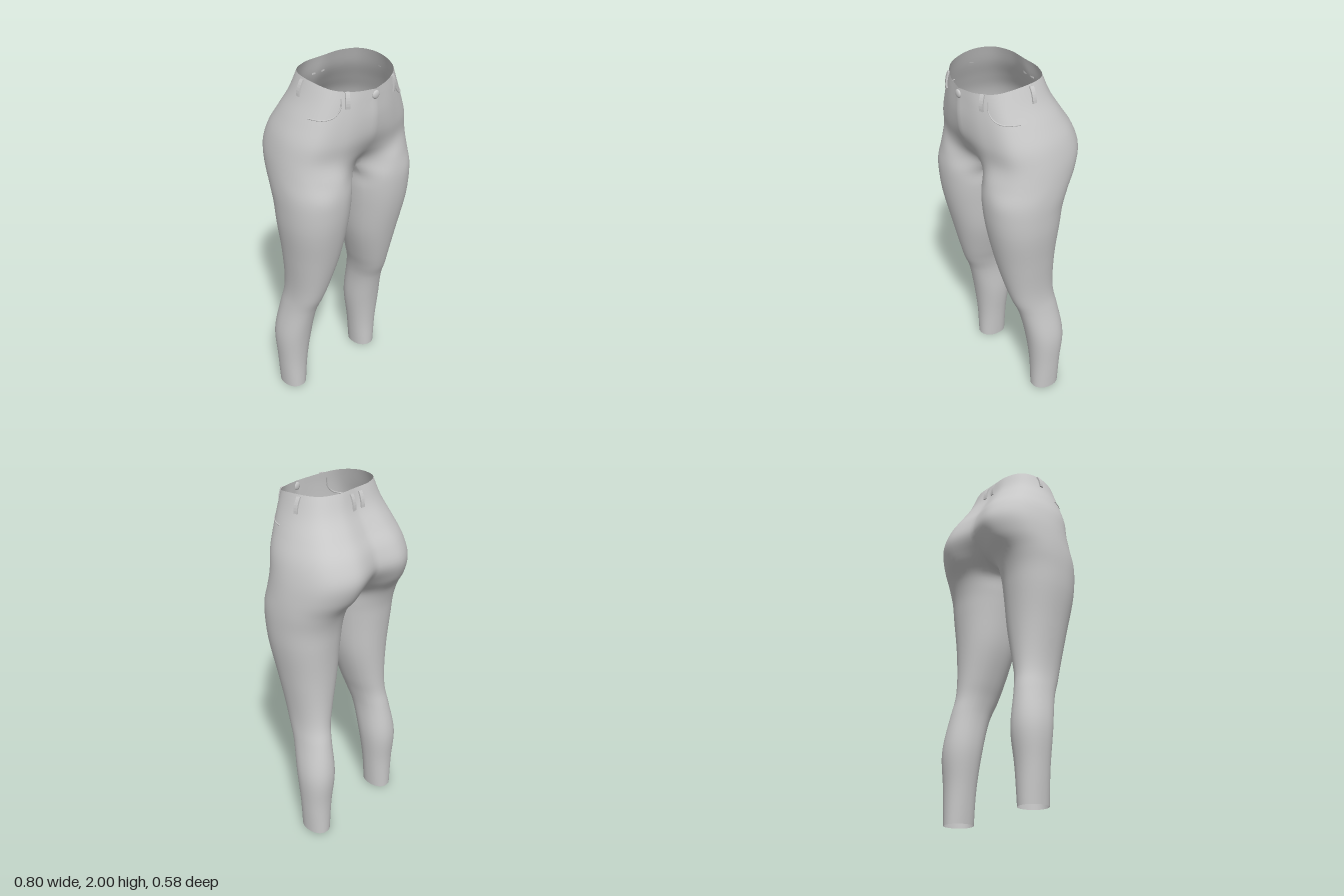
import * as THREE from 'three';
import { mergeVertices } from 'three/addons/utils/BufferGeometryUtils.js';

const OUTER = 44;          // columns round the outside of a leg and hip
const INNER = 18;          // columns round the inside of a leg
const STEPS = 5;           // rows between two key sections
const RING = OUTER + INNER;

// leg sections: y, inner x, outer x, front z, back z
const LEG = [
  [0.01, 0.215, 0.347, 0.01, -0.16],
  [0.2, 0.197, 0.36, 0.015, -0.165],
  [0.4, 0.174, 0.37, 0.04, -0.18],
  [0.6, 0.168, 0.342, 0.085, -0.15],
  [0.7, 0.15, 0.332, 0.125, -0.13],
  [0.8, 0.12, 0.335, 0.155, -0.125],
  [1.0, 0.066, 0.36, 0.205, -0.13],
  [1.2, 0.04, 0.39, 0.248, -0.145],
  [1.32, 0.028, 0.398, 0.263, -0.16],
  [1.41, 0.02, 0.4, 0.265, -0.19],
];
// hip sections: y, outer x, outer z, front z (centre, lobe), back z (centre, lobe)
const HIP = [
  [1.5, 0.395, 0.03, 0.155, 0.253, -0.18, -0.255],
  [1.6, 0.382, 0.03, 0.225, 0.235, -0.25, -0.286],
  [1.7, 0.36, 0.03, 0.275, 0.25, -0.236, -0.256],
  [1.8, 0.32, 0.03, 0.29, 0.257, -0.182, -0.195],
  [1.9, 0.275, 0.04, 0.286, 0.257, -0.13, -0.137],
  [2.0, 0.24, 0.05, 0.283, 0.255, -0.103, -0.1],
];

const V = (x, y, z) => new THREE.Vector3(x, y, z);
const rad = THREE.MathUtils.degToRad;
const power = (v, e) => Math.sign(v) * Math.abs(v) ** e;

function legRing([y, xi, xo, zf, zb], row) {
  const ring = [];
  for (let j = 0; j < RING; j++) {
    const a = rad(j <= OUTER ? 150 - 300 * j / OUTER : -150 - 60 * (j - OUTER) / INNER);
    const x = (xi + xo) / 2 + (xo - xi) / 2 * power(Math.cos(a), 0.92);
    const z = (zf + zb) / 2 + (zf - zb) / 2 * power(Math.sin(a), 0.92);
    ring.push(V(x, row === 0 ? 0.01 + 0.06 * z : y, z));
  }
  return ring;
}

function hipRing([y, X, zo, zf0, zfL, zb0, zbL], row) {
  const side = (z) => zo + 0.7 * (z - zo);
  const arc = new THREE.CatmullRomCurve3([
    V(0, y, zf0), V(0.48 * X, y, zfL), V(0.86 * X, y, side(zfL)), V(X, y, zo),
    V(0.86 * X, y, side(zbL)), V(0.48 * X, y, zbL), V(0, y, zb0),
  ]);
  const ring = arc.getSpacedPoints(OUTER);
  // the waist rim dips at the front
  if (row === HIP.length - 1) ring.forEach((p) => { p.y -= 0.6 * Math.max(0, p.z) ** 2; });
  // the lowest hip section closes along the crotch seam
  if (row === 0) {
    for (let m = 1; m < INNER; m++) {
      const a = m / INNER;
      ring.push(V(0, y - 0.062 * Math.sin(Math.PI * a) ** 0.7, THREE.MathUtils.lerp(zb0, zf0, a)));
    }
  }
  return ring;
}

// one smooth skin: two legs joined at the crotch and running up to the waist
function trouserGeometry() {
  const keys = [...LEG.map(legRing), ...HIP.map(hipRing)];
  const crotchRow = LEG.length * STEPS, topRow = (keys.length - 1) * STEPS;
  const pos = [], index = [];
  for (const s of [1, -1]) {
    const ids = [];
    for (let j = 0; j < RING; j++) {
      const last = j <= OUTER ? topRow : crotchRow;
      const curve = new THREE.CatmullRomCurve3(keys.slice(0, last / STEPS + 1).map((k) => k[j]));
      ids.push([]);
      for (let i = 0; i <= last; i++) {
        const p = curve.getPoint(i / last);
        const onSeam = i >= crotchRow && (j === 0 || j >= OUTER);
        ids[j].push(pos.length / 3);
        pos.push(onSeam ? 0 : s * Math.max(0, p.x), p.y, p.z);
      }
    }
    for (let j = 0; j < RING; j++) {
      const A = ids[j], B = ids[(j + 1) % RING];
      const rows = j < OUTER ? topRow : crotchRow;
      for (let i = 0; i < rows; i++) {
        const [b, d] = s > 0 ? [B[i], A[i + 1]] : [A[i + 1], B[i]];
        index.push(A[i], b, B[i + 1], A[i], B[i + 1], d);
      }
    }
  }
  let g = new THREE.BufferGeometry();
  g.setAttribute('position', new THREE.Float32BufferAttribute(pos, 3));
  g.setIndex(index);
  g = mergeVertices(g, 1e-5);
  g.computeVertexNormals();
  return g;
}

export function createModel() {
  const group = new THREE.Group();
  const material = new THREE.MeshStandardMaterial({ color: 0xcccccc, side: THREE.DoubleSide });
  const add = (name, geometry) => {
    const mesh = new THREE.Mesh(geometry, material);
    mesh.name = name;
    group.add(mesh);
    return mesh;
  };
  const trousers = add('trousers', trouserGeometry());

  // finds the cloth from outside, looking along a direction
  const ray = new THREE.Raycaster();
  const onCloth = (from, dir) => {
    ray.set(from, dir);
    const hit = ray.intersectObject(trousers)[0];
    return hit && { point: hit.point, normal: hit.face.normal };
  };

  // belt loops: short straps that bow out from the waistband
  const strap = new THREE.Shape();
  strap.moveTo(0, -0.042);
  strap.lineTo(0.008, -0.042);
  strap.quadraticCurveTo(0.02, 0, 0.008, 0.042);
  strap.lineTo(0, 0.042);
  strap.quadraticCurveTo(0.011, 0, 0, -0.042);
  const strapGeometry = new THREE.ExtrudeGeometry(strap, { depth: 0.022, bevelEnabled: false, curveSegments: 6 });
  strapGeometry.translate(0, 0, -0.011).rotateY(-Math.PI / 2);
  for (const s of [1, -1]) {
    const spots = [
      ['frontBeltLoop', V(s * 0.15, 1.925, 1), V(0, 0, -1)],
      ['sideBeltLoop', V(s, 1.95, 0.035), V(-s, 0, 0)],
      ['backBeltLoop', V(s * 0.032, 1.94, -1), V(0, 0, 1)],
    ];
    for (const [name, from, dir] of spots) {
      const hit = onCloth(from, dir);
      if (!hit) continue;
      const loop = add(name, strapGeometry);
      loop.position.copy(hit.point);
      loop.lookAt(hit.point.clone().add(hit.normal));
    }

    // curved front pocket edge lying on the cloth
    const edge = new THREE.CatmullRomCurve3([
      V(s * 0.175, 1.935, 1), V(s * 0.185, 1.885, 1), V(s * 0.215, 1.85, 1),
      V(s * 0.255, 1.836, 1), V(s * 0.292, 1.834, 1),
    ]);
    const path = edge.getPoints(16).map((p) => onCloth(p, V(0, 0, -1))).filter(Boolean).map((h) => h.point);
    add('pocketEdge', new THREE.TubeGeometry(new THREE.CatmullRomCurve3(path), 32, 0.004, 6));
  }

  // waist button
  const hit = onCloth(V(0.001, 1.922, 1), V(0, 0, -1));
  const button = add('button', new THREE.SphereGeometry(0.022, 20, 12));
  button.scale.z = 0.4;
  button.position.copy(hit.point).setX(0);

  return group;
}
